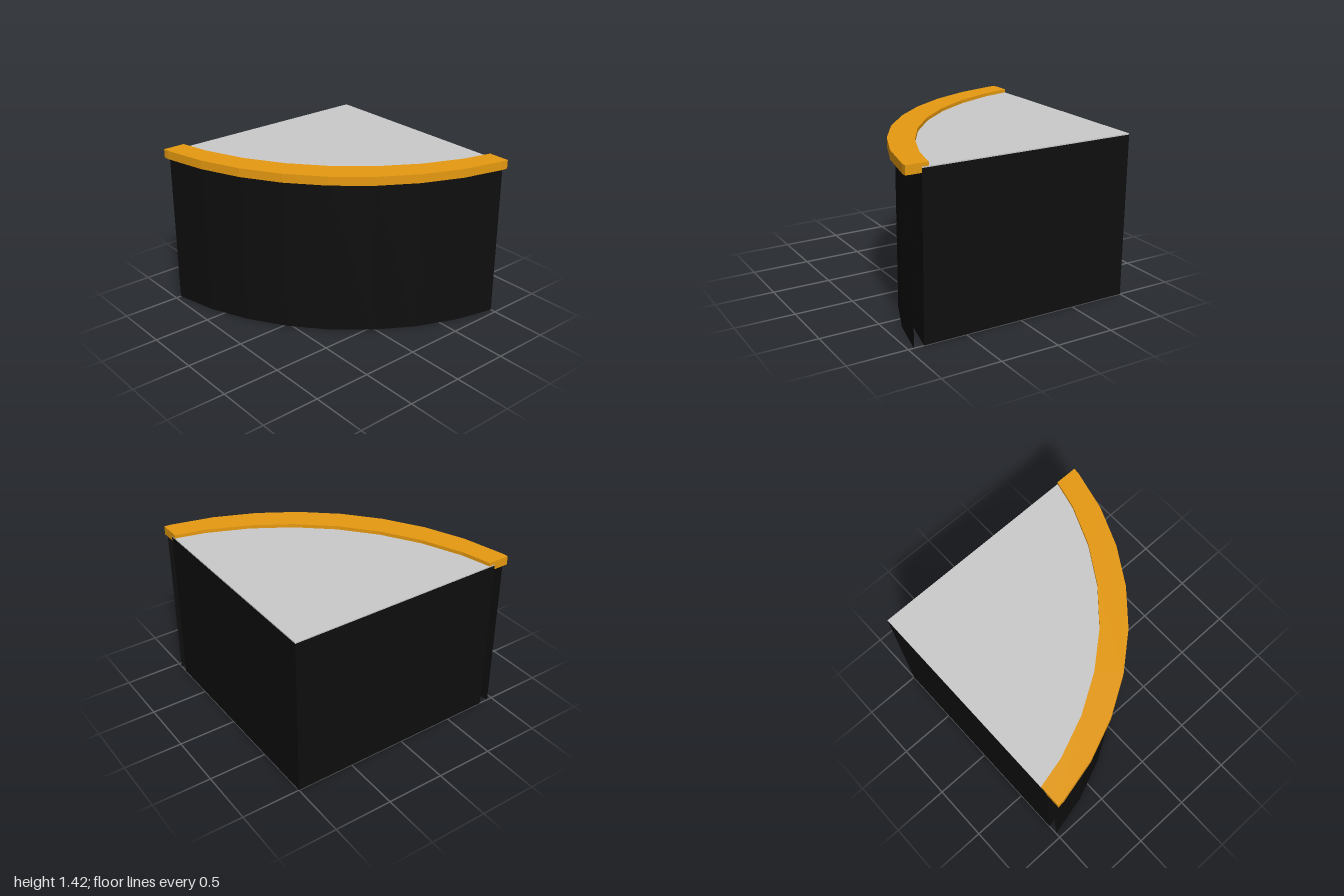
import * as THREE from 'three';

const RADIUS = 2.335;
const STEP = Math.PI / 20;

// Faceted arc centred at (c, c), trimmed where it meets the two straight sides at -1
function arc(c) {
  const at = k => [c + RADIUS * Math.cos(k * STEP), c + RADIUS * Math.sin(k * STEP)];
  const inner = [];
  let first = 0;
  while (at(first)[1] <= -1) first++;
  for (let k = first; k <= 10 - first; k++) inner.push(at(k));
  const [a, b] = [at(first - 1), at(first)];
  const x = a[0] + (b[0] - a[0]) * (-1 - a[1]) / (b[1] - a[1]);
  return [[x, -1], ...inner, [-1, x]];
}

// Floor outline in (x, z) raised from y0 to y1
function slab(outline, y0, y1) {
  const shape = new THREE.Shape(outline.map(([x, z]) => new THREE.Vector2(x, -z)));
  const geo = new THREE.ExtrudeGeometry(shape, { depth: y1 - y0, bevelEnabled: false });
  return geo.rotateX(-Math.PI / 2).translate(0, y0, 0);
}

// Thin upright sheet following a line in (x, z)
function sheet(line, y0, y1) {
  const pos = [];
  for (let i = 0; i < line.length - 1; i++) {
    const [ax, az] = line[i], [bx, bz] = line[i + 1];
    pos.push(ax, y0, az, ax, y1, az, bx, y1, bz, ax, y0, az, bx, y1, bz, bx, y0, bz);
  }
  const geo = new THREE.BufferGeometry();
  geo.setAttribute('position', new THREE.Float32BufferAttribute(pos, 3));
  geo.computeVertexNormals();
  return geo;
}

export function createModel() {
  const group = new THREE.Group();
  const black = new THREE.MeshStandardMaterial({ color: 0x0e0e0e });
  const blackSheet = new THREE.MeshStandardMaterial({ color: 0x0e0e0e, side: THREE.DoubleSide });
  const grey = new THREE.MeshStandardMaterial({ color: 0xcccccc });
  const orange = new THREE.MeshStandardMaterial({ color: 0xe79a10 });
  const add = (name, geo, mat) => {
    const mesh = new THREE.Mesh(geo, mat);
    mesh.name = name;
    group.add(mesh);
  };

  // Cabinet with a curved front
  const cabinet = [[-1, -1], ...arc(-1.425)];
  add('cabinet', slab(cabinet, 0, 1.38), black);

  // Grey worktop
  add('worktop', slab(cabinet, 1.38, 1.39), grey);

  // Curved panel standing just ahead of the cabinet
  add('frontPanel', sheet(arc(-1.355), 0, 1.35), blackSheet);

  // Curved rail along the front edge
  add('rail', slab([...arc(-1.31), ...arc(-1.47).reverse()], 1.345, 1.42), orange);

  return group;
}
